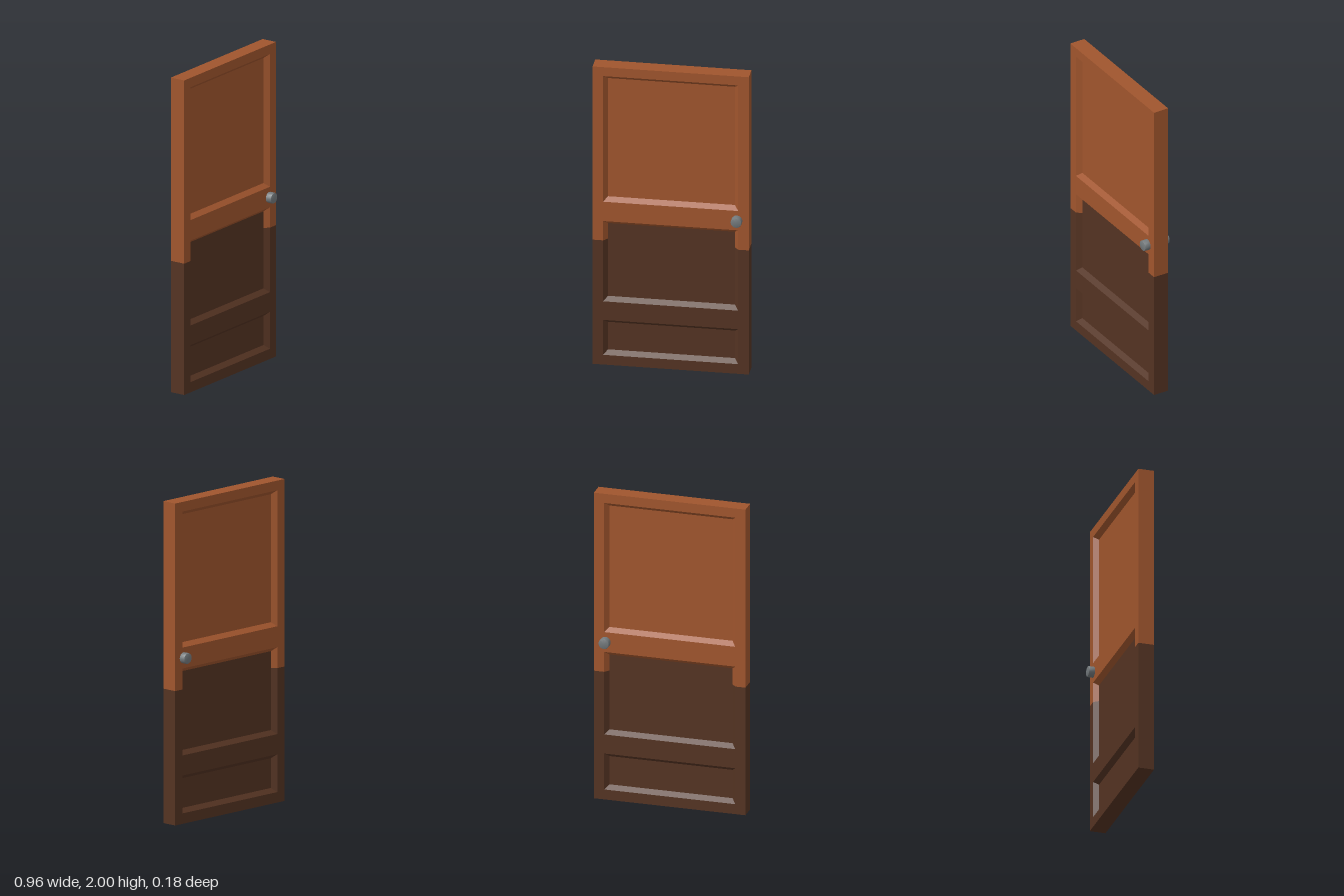
import * as THREE from 'three';
import { mergeGeometries, toCreasedNormals } from 'three/addons/utils/BufferGeometryUtils.js';

const W = 0.48, H = 2, Z = 0.05;          // half width, height, half thickness
const SPLIT = 0.835;                      // height where the dark lower paint ends
const PX = 0.415, BEVEL = 0.025, DEPTH = 0.03;
const FLOOR_Z = Z - DEPTH, IX = PX - BEVEL;
const PANELS = [
  { name: 'topPanel', y0: 1.095, y1: 1.94 },
  { name: 'middlePanel', y0: 0.425, y1: 0.965 },
  { name: 'bottomPanel', y0: 0.065, y1: 0.3 },
];

// Flat four-cornered face, corners counter-clockwise seen from its front
function quad(a, b, c, d) {
  const g = new THREE.BufferGeometry();
  g.setAttribute('position', new THREE.Float32BufferAttribute([a, b, c, a, c, d].flat(), 3));
  g.computeVertexNormals();
  return g;
}

const rect = (x, y0, y1) => [[-x, y0], [x, y0], [x, y1], [-x, y1]].map(p => new THREE.Vector2(...p));

// Face of the frame from an outline and panel openings
function face(outline, holes) {
  const shape = new THREE.Shape(outline);
  holes.forEach(p => shape.holes.push(new THREE.Path(rect(PX, p.y0, p.y1))));
  const g = new THREE.ShapeGeometry(shape).toNonIndexed();
  g.deleteAttribute('uv');
  return g.translate(0, 0, Z);
}

// Sloping side mouldings of a panel between two heights
function sideBevels(p, from, to) {
  const inset = y => Math.min(Math.max(y, p.y0 + BEVEL), p.y1 - BEVEL);
  const a = inset(from), b = inset(to);
  return [
    quad([-PX, from, Z], [-IX, a, FLOOR_Z], [-IX, b, FLOOR_Z], [-PX, to, Z]),
    quad([IX, a, FLOOR_Z], [PX, from, Z], [PX, to, Z], [IX, b, FLOOR_Z]),
  ];
}
const lowerBevel = p => quad([-PX, p.y0, Z], [PX, p.y0, Z],
  [IX, p.y0 + BEVEL, FLOOR_Z], [-IX, p.y0 + BEVEL, FLOOR_Z]);
const upperBevel = p => quad([-IX, p.y1 - BEVEL, FLOOR_Z], [IX, p.y1 - BEVEL, FLOOR_Z],
  [PX, p.y1, Z], [-PX, p.y1, Z]);

// Both outer edges of the slab between two heights
const edges = (y0, y1) => [
  quad([W, y0, Z], [W, y0, -Z], [W, y1, -Z], [W, y1, Z]),
  quad([-W, y0, -Z], [-W, y0, Z], [-W, y1, Z], [-W, y1, -Z]),
];

export function createModel() {
  const door = new THREE.Group();
  door.name = 'door';
  const mat = (name, color) => Object.assign(new THREE.MeshStandardMaterial({ color }), { name });
  const wood = mat('orangeWood', 0xa0552d);
  const dark = mat('darkWood', 0x543322);
  const metal = mat('greyMetal', 0x73797c);
  const add = (parent, name, geo, material) => {
    const mesh = new THREE.Mesh(geo, material);
    mesh.name = name;
    parent.add(mesh);
    return mesh;
  };
  const [top, mid, low] = PANELS;

  // Frame outlines, notched around the middle panel at the paint line
  const notch = y => [[PX, SPLIT], [PX, y], [-PX, y], [-PX, SPLIT]];
  const vec = list => list.map(p => new THREE.Vector2(...p));
  const upperOutline = vec([[W, SPLIT], [W, H], [-W, H], [-W, SPLIT], ...notch(mid.y1).reverse()]);
  const lowerOutline = vec([[-W, SPLIT], [-W, 0], [W, 0], [W, SPLIT], ...notch(mid.y0)]);

  // Knob profile with a small rounded rim
  const r = 0.034, k = 0.006, tip = 0.039;
  const profile = vec([[r, 0], [r, tip - k], [r - k * 0.3, tip - k * 0.3], [r - k, tip], [0, tip]]);
  const knobGeo = toCreasedNormals(new THREE.LatheGeometry(profile, 16), 0.6).rotateX(Math.PI / 2);

  // Identical front and back sides
  for (const side of ['front', 'back']) {
    const half = new THREE.Group();
    half.name = side + 'Side';
    if (side === 'back') half.rotation.y = Math.PI;
    door.add(half);

    add(half, 'upperFrame', face(upperOutline, [top]), wood);
    add(half, 'lowerFrame', face(lowerOutline, [low]), dark);
    add(half, 'upperMoulding', mergeGeometries([
      ...sideBevels(top, top.y0, top.y1), lowerBevel(top), upperBevel(top),
      ...sideBevels(mid, SPLIT, mid.y1), upperBevel(mid),
    ]), wood);
    add(half, 'lowerMoulding', mergeGeometries([
      ...sideBevels(mid, mid.y0, SPLIT), lowerBevel(mid),
      ...sideBevels(low, low.y0, low.y1), lowerBevel(low), upperBevel(low),
    ]), dark);
    for (const p of PANELS) {
      const g = new THREE.PlaneGeometry(2 * IX, p.y1 - p.y0 - 2 * BEVEL);
      add(half, p.name, g.translate(0, (p.y0 + p.y1) / 2, FLOOR_Z), p === top ? wood : dark);
    }

    // Both knobs sit on the same edge of the door
    const knob = add(half, 'knob', knobGeo, metal);
    knob.position.set(side === 'front' ? 0.407 : -0.407, 1.031, Z);
  }

  // Outer edges of the slab
  add(door, 'upperEdges', mergeGeometries([...edges(SPLIT, H),
    quad([-W, H, Z], [W, H, Z], [W, H, -Z], [-W, H, -Z])]), wood);
  add(door, 'lowerEdges', mergeGeometries([...edges(0, SPLIT),
    quad([-W, 0, -Z], [W, 0, -Z], [W, 0, Z], [-W, 0, Z])]), dark);
  return door;
}
